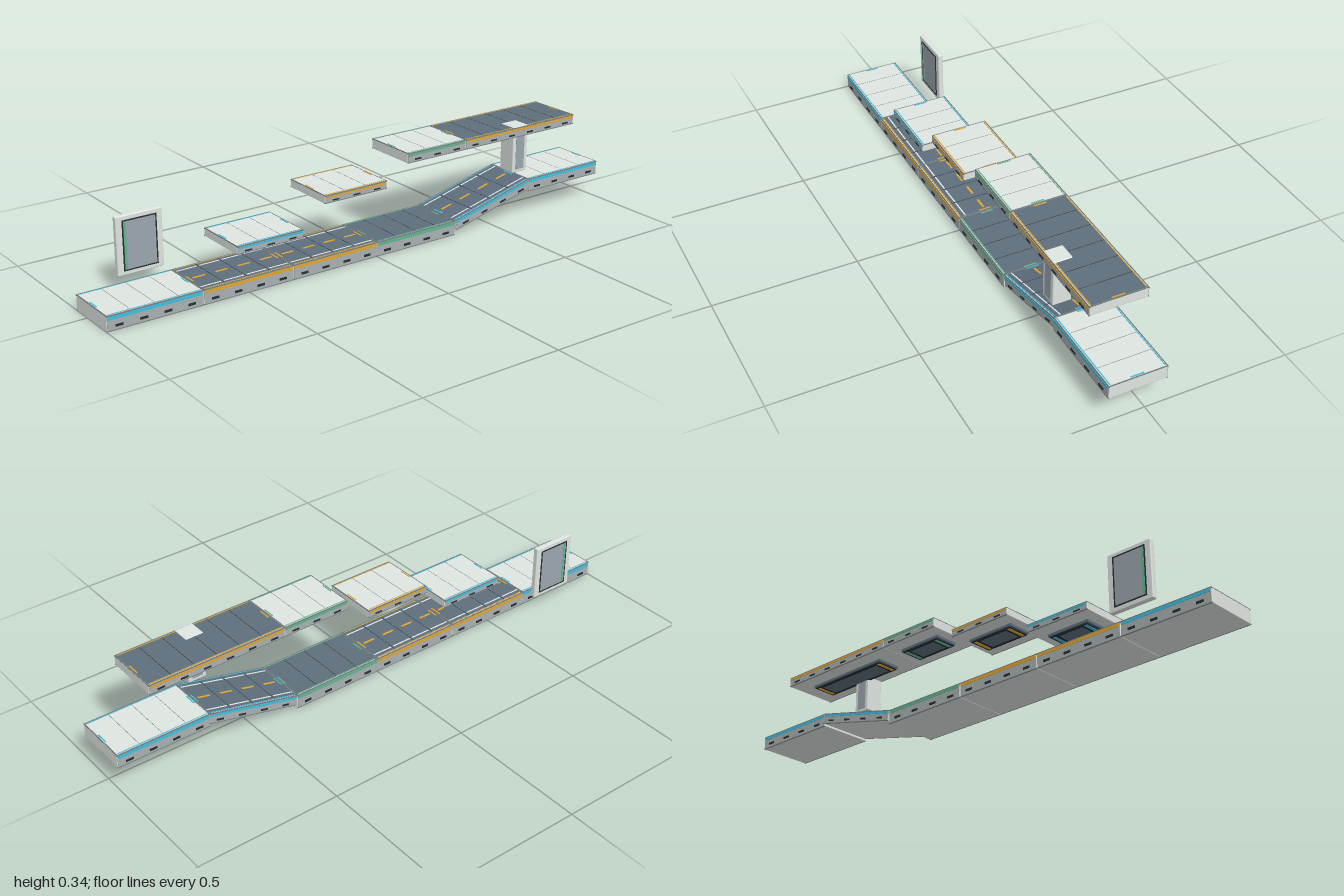
import * as THREE from 'three';
import { RoundedBoxGeometry } from 'three/addons/geometries/RoundedBoxGeometry.js';

const mat = (name, color) => Object.assign(new THREE.MeshStandardMaterial({ color }), { name });
const M = {
  light: mat('light shell', 0xdee4e0),
  mid: mat('grey side panel', 0xa9b0b1),
  edge: mat('dark grey edging', 0x788182),
  deck: mat('slate deck', 0x5d6e7c),
  glass: mat('blue grey panel', 0x9aa6ae),
  black: mat('near black', 0x272e34),
  cyan: mat('cyan', 0x3fbfe0),
  orange: mat('orange', 0xe3a52f),
  green: mat('green', 0x62b58e),
  white: mat('white marking', 0xf4f7f5),
};
const ZC = 0.0275; // centre line of the track
const HALF = 0.1; // half width of the track

function box(parent, name, m, size, pos, round = 0) {
  const g = round ? new RoundedBoxGeometry(...size, 1, round) : new THREE.BoxGeometry(...size);
  const mesh = new THREE.Mesh(g, m);
  mesh.name = name;
  mesh.position.set(...pos);
  parent.add(mesh);
  return mesh;
}

// One deck section; local origin is the middle of its top surface
function section(name, { len, h, trim, dark = false, road = false, slats = 4, vents = 4 }) {
  const g = new THREE.Group();
  g.name = name;
  box(g, 'shell', M.light, [len, h - 0.002, HALF * 2 - 0.003], [0, -h / 2, 0], 0.003);
  box(g, 'deckPlate', dark ? M.deck : M.light, [len - 0.006, 0.002, 0.188], [0, -0.001, 0]);

  // seams between the slats
  for (let i = 1; i < slats; i++)
    box(g, 'seam', dark ? M.black : M.edge, [0.0014, 0.0006, 0.184], [-len / 2 + (len * i) / slats, 0.0001, 0]);

  // end edging with a small coupling mark
  for (const s of [-1, 1]) {
    box(g, 'endEdge', M.edge, [0.003, 0.003, 0.194], [s * (len / 2 - 0.002), -0.001, 0]);
    box(g, 'couplingMark', trim, [0.005, 0.001, 0.045], [s * (len / 2 - 0.008), 0.0003, 0]);
  }

  // sides: panel, edging, colour stripe and vents
  for (const s of [-1, 1]) {
    const sh = h * 0.2;
    box(g, 'sidePanel', M.mid, [len - 0.004, h - 0.008, 0.002], [0, -h / 2, s * 0.099]);
    box(g, 'topEdge', M.edge, [len, 0.004, 0.003], [0, -0.002, s * 0.0985]);
    box(g, 'bottomEdge', M.edge, [len, 0.003, 0.003], [0, -h + 0.0025, s * 0.0985]);
    box(g, 'stripe', trim, [len - 0.008, sh, 0.002], [0, -0.004 - sh / 2, s * 0.1008]);
    box(g, 'stripeOnDeck', trim, [len - 0.012, 0.001, 0.003], [0, 0.0002, s * 0.0925]);
    for (let i = 0; i < vents; i++)
      box(g, 'vent', M.black, [0.026, h * 0.14, 0.003], [-len / 2 + (len * (i + 0.5)) / vents, -h * 0.68, s * 0.1012]);
  }

  // lane markings, one set per slat
  if (road)
    for (let i = 0; i < slats; i++) {
      const x = -len / 2 + (len * (i + 0.5)) / slats;
      box(g, 'centreDash', M.orange, [0.045, 0.001, 0.008], [x, 0.0005, 0]);
      for (const s of [-1, 1])
        box(g, 'edgeMark', M.white, [(len / slats) * 0.9, 0.001, 0.005], [x, 0.0005, s * 0.075]);
    }
  return g;
}

// Hanging lift unit under a floating section
function addLift(g, len, h, trim) {
  const lift = new THREE.Group();
  lift.name = 'liftUnit';
  lift.position.y = -h;
  box(lift, 'liftNeck', M.deck, [len, 0.009, 0.09], [0, -0.0035, 0]);
  box(lift, 'liftBase', M.black, [len - 0.012, 0.004, 0.086], [0, -0.0095, 0]);
  box(lift, 'liftPlate', M.deck, [len - 0.07, 0.001, 0.06], [0, -0.0118, 0]);
  for (const s of [-1, 1])
    box(lift, 'liftStripe', trim, [0.012, 0.0015, 0.072], [s * (len / 2 - 0.018), -0.0118, 0]);
  g.add(lift);
}

export function createModel() {
  const model = new THREE.Group();
  model.name = 'modularTrack';
  const L = 1 / 3;
  const place = (g, x, y, rot = 0) => {
    g.position.set(x, y, ZC);
    g.rotation.z = rot;
    model.add(g);
  };

  // ground sections
  [
    ['startPlatform', M.cyan, false, false],
    ['roadSectionA', M.orange, true, true],
    ['roadSectionB', M.orange, true, true],
    ['plainSection', M.green, true, false],
  ].forEach(([name, trim, dark, road], i) =>
    place(section(name, { len: L - 0.001, h: 0.053, trim, dark, road }), -1 + L * (i + 0.5), 0.054));

  // ramp and raised end platform
  const rise = 0.082;
  place(section('ramp', { len: Math.hypot(L, rise), h: 0.039, trim: M.cyan, dark: true, road: true }),
    0.5, 0.096, Math.atan2(rise, L));
  place(section('endPlatform', { len: L, h: 0.049, trim: M.cyan }), 1 - L / 2, 0.137);

  // floating sections
  [
    ['floatingPlatformLow', -0.418, 0.167, 0.248, 0.029, M.cyan, 0.165, false, 3, 3],
    ['floatingPlatformMiddle', -0.085, 0.262, 0.248, 0.029, M.orange, 0.185, false, 3, 3],
    ['floatingPlatformHigh', 0.249, 0.338, 0.248, 0.036, M.green, 0.178, false, 3, 3],
    ['overheadDeck', 0.622, 0.338, 0.498, 0.036, M.orange, 0.35, true, 6, 6],
  ].forEach(([name, x, y, len, h, trim, lift, dark, slats, vents]) => {
    const g = section(name, { len, h, trim, dark, slats, vents });
    addLift(g, lift, h, trim);
    place(g, x, y);
  });

  // support column passing through the overhead deck
  const column = new THREE.Group();
  column.name = 'supportColumn';
  column.position.set(0.622, 0.257, 0.0935);
  box(column, 'columnShell', M.light, [0.065, 0.167, 0.065], [0, 0, 0], 0.003);
  for (const s of [-1, 1])
    box(column, 'columnPanel', M.glass, [0.038, 0.13, 0.002], [0, -0.008, s * 0.0325]);
  model.add(column);

  // standing wall panel behind the start platform
  const wall = new THREE.Group();
  wall.name = 'wallPanel';
  wall.position.set(-0.752, 0.156, -0.1185);
  box(wall, 'wallFrame', M.light, [0.165, 0.2, 0.019], [0, 0, 0], 0.004);
  for (const s of [-1, 1]) {
    box(wall, 'wallInset', M.glass, [0.116, 0.164, 0.002], [0, 0, s * 0.0095]);
    for (const t of [-1, 1]) {
      box(wall, 'insetSide', M.black, [0.004, 0.17, 0.004], [t * 0.059, 0, s * 0.0098]);
      box(wall, 'insetEnd', M.black, [0.122, 0.004, 0.004], [0, t * 0.083, s * 0.0098]);
    }
    box(wall, 'wallStripe', M.green, [0.009, 0.156, 0.003], [-0.052, 0, s * 0.0105]);
  }
  model.add(wall);
  return model;
}
